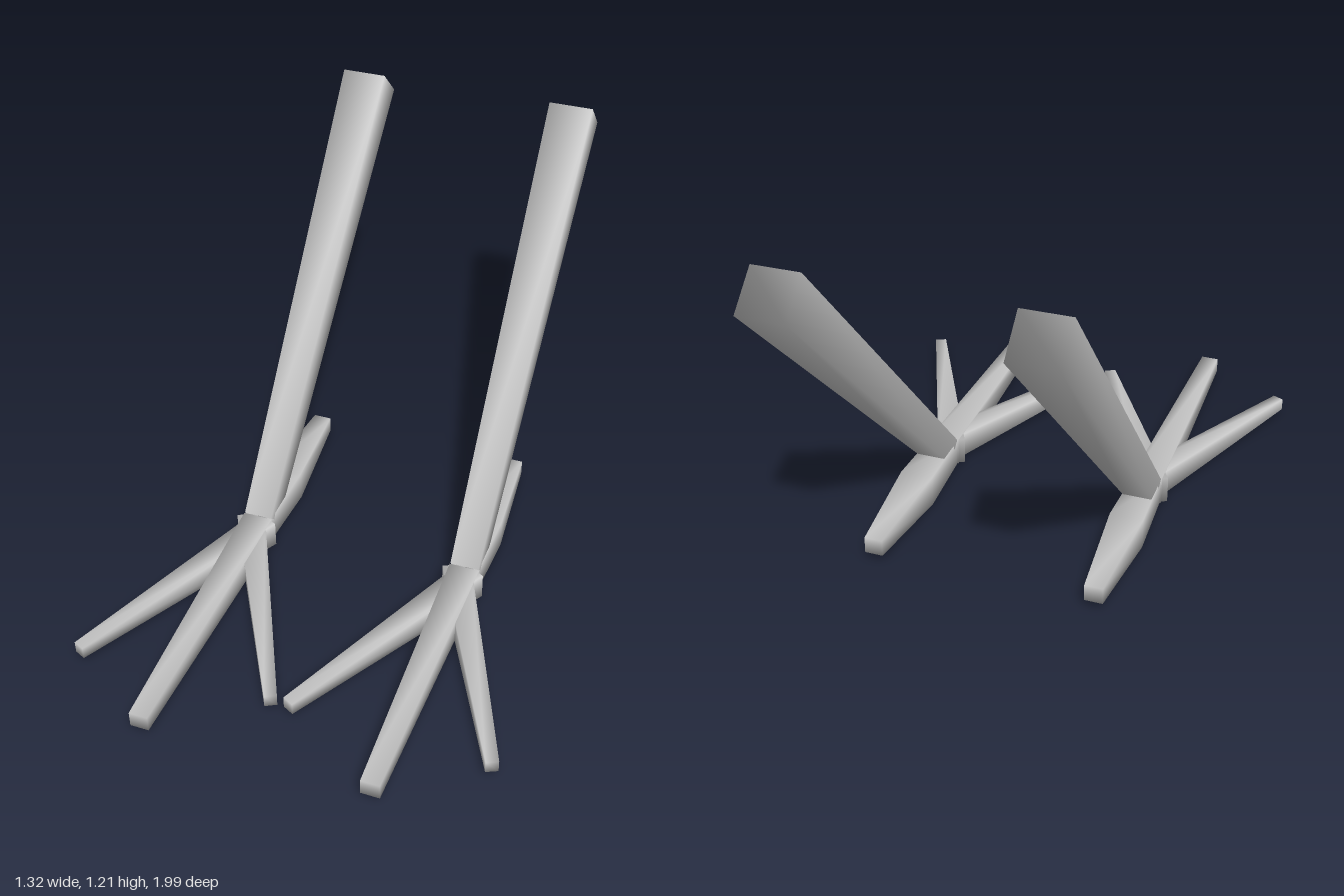
import * as THREE from 'three';

const material = new THREE.MeshStandardMaterial({ color: 0xcccccc });
const V = (x, y, z) => new THREE.Vector3(x, y, z);

// Closed, softly shaded square-section limb through sections [centre, halfWidth, halfHeight]
function limb(name, sections) {
  const dir = sections[sections.length - 1][0].clone().sub(sections[0][0]).normalize();
  const side = V(0, 1, 0).cross(dir).normalize();
  const up = dir.clone().cross(side);
  const positions = [];
  const index = [];
  for (const [centre, w, h] of sections) {
    for (const [a, b] of [[1, -1], [1, 1], [-1, 1], [-1, -1]]) {
      const p = centre.clone().addScaledVector(side, a * w).addScaledVector(up, b * h);
      positions.push(p.x, p.y, p.z);
    }
  }
  for (let i = 0; i < sections.length - 1; i++) {
    for (let j = 0; j < 4; j++) {
      const a = i * 4 + j;
      const b = i * 4 + (j + 1) % 4;
      index.push(a, b, b + 4, a, b + 4, a + 4);
    }
  }
  const e = (sections.length - 1) * 4;
  index.push(0, 2, 1, 0, 3, 2, e, e + 1, e + 2, e, e + 2, e + 3);

  const geometry = new THREE.BufferGeometry();
  geometry.setAttribute('position', new THREE.Float32BufferAttribute(positions, 3));
  geometry.setIndex(index);
  geometry.computeVertexNormals();
  const mesh = new THREE.Mesh(geometry, material);
  mesh.name = name;
  return mesh;
}

// s is +1 for the left leg, -1 for the right; local +x * s points outward
function leg(s) {
  const group = new THREE.Group();
  group.name = s > 0 ? 'leftLeg' : 'rightLeg';
  group.position.x = 0.352 * s;
  group.add(
    // Shank leaning back from the ankle
    limb('shank', [
      [V(0, 0.073, 0.098), 0.046, 0.043],
      [V(0, 1.163, -0.942), 0.071, 0.069],
    ]),
    // Three front toes; the side toes cross at the ankle
    limb('middleToe', [
      [V(0, 0.055, 0.13), 0.048, 0.046],
      [V(0, 0.049, 1), 0.029, 0.026],
    ]),
    limb('outerToe', [
      [V(-0.026 * s, 0.055, 0.125), 0.045, 0.044],
      [V(0.293 * s, 0.049, 0.812), 0.019, 0.02],
    ]),
    limb('innerToe', [
      [V(0.026 * s, 0.055, 0.125), 0.045, 0.044],
      [V(-0.325 * s, 0.049, 0.8), 0.019, 0.02],
    ]),
    // Back toe, swelling in the middle
    limb('backToe', [
      [V(0, 0.054, 0.13), 0.045, 0.044],
      [V(0, 0.053, -0.11), 0.054, 0.051],
      [V(0, 0.056, -0.45), 0.029, 0.027],
    ]),
  );
  return group;
}

export function createModel() {
  const model = new THREE.Group();
  model.name = 'birdLegs';
  for (const s of [1, -1]) model.add(leg(s));
  return model;
}
